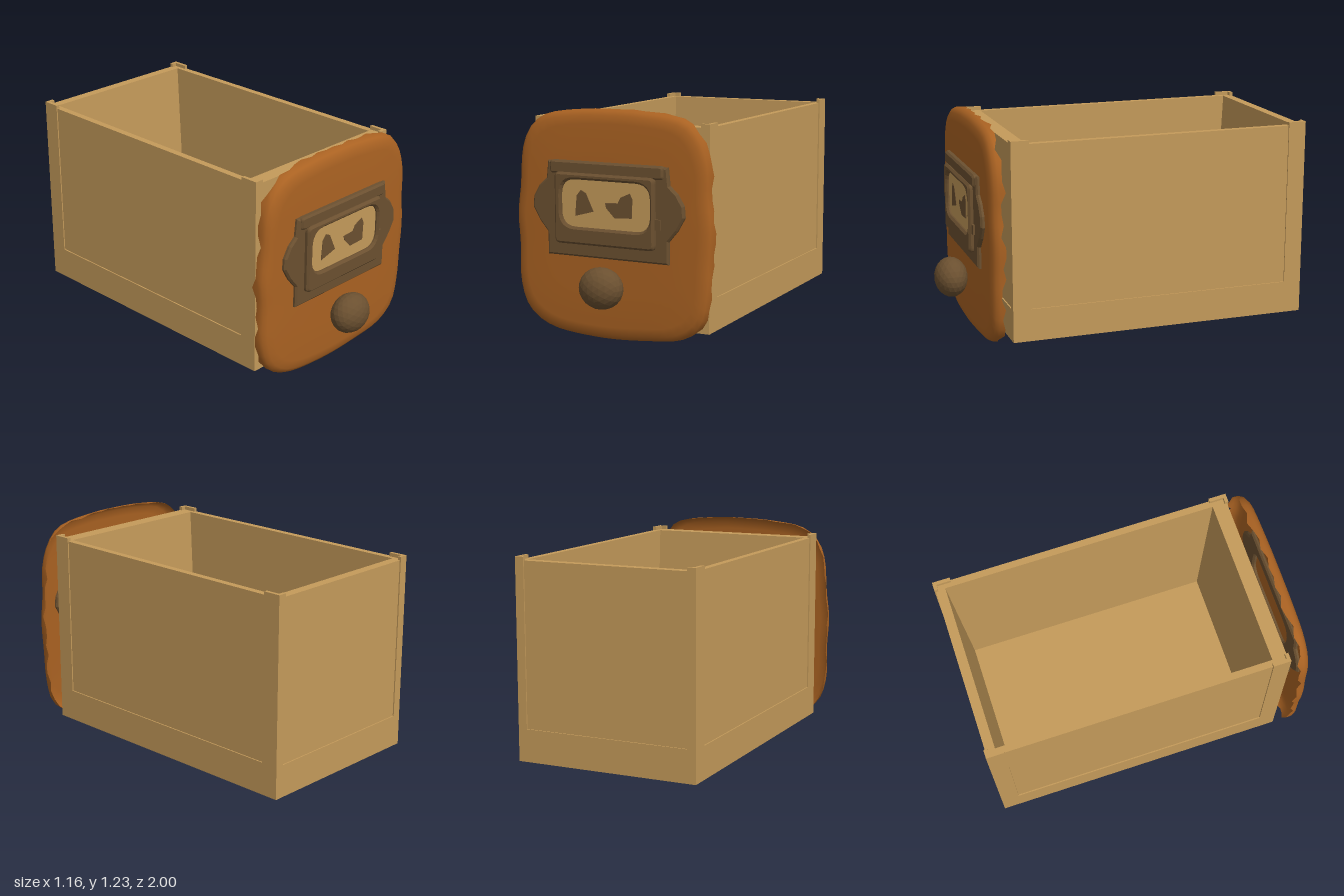
import * as THREE from 'three';

export function createModel() {
  const model = new THREE.Group();
  const mat = (name, color, flat) => {
    const m = new THREE.MeshStandardMaterial({ color, side: THREE.DoubleSide, flatShading: flat });
    m.name = name;
    return m;
  };
  const wood = mat('pale wood', 0xc49a5a, true);
  const front = mat('orange wood', 0xaa6222, false);
  const metal = mat('dark bronze', 0x6b5030, true);

  const add = (name, geo, material) => {
    const m = new THREE.Mesh(geo, material);
    m.name = name;
    model.add(m);
    return m;
  };
  // Box given by its minimum and maximum corners
  const box = (name, a, b, material) => {
    const m = add(name, new THREE.BoxGeometry(b[0] - a[0], b[1] - a[1], b[2] - a[2]), material);
    m.position.set((a[0] + b[0]) / 2, (a[1] + b[1]) / 2, (a[2] + b[2]) / 2);
  };
  const shapeOf = pts => new THREE.Shape(pts.map(p => new THREE.Vector2(p[0], p[1])));

  // Drawer box: floor, side panels and sloped end panels
  box('floor', [-0.49, 0.09, -0.97], [0.49, 0.12, 0.66], wood);
  for (const s of [-1, 1]) {
    const x = [s * 0.475, s * 0.513].sort((p, q) => p - q);
    box('sidePanel', [x[0], 0.1, -0.993], [x[1], 1.15, 0.683], wood);
  }
  const endPanel = (outer, top, bottom) => {
    const shape = shapeOf([[-outer, 0.1], [-bottom, 0.1], [-top, 1.15], [-outer, 1.15]]);
    const geo = new THREE.ExtrudeGeometry(shape, { depth: 0.95, bevelEnabled: false });
    geo.rotateY(Math.PI / 2);
    geo.translate(-0.475, 0, 0);
    add('endPanel', geo, wood);
  };
  endPanel(-0.993, -0.94, -0.89);
  endPanel(0.683, 0.6, 0.55);

  // Base rail running around the bottom, open underneath
  const rect = (x, z0, z1) => [[-x, -z1], [x, -z1], [x, -z0], [-x, -z0]];
  const rail = shapeOf(rect(0.52, -1, 0.69));
  rail.holes.push(shapeOf(rect(0.476, -0.955, 0.645)));
  const railGeo = new THREE.ExtrudeGeometry(rail, { depth: 0.18, bevelEnabled: false });
  railGeo.rotateX(-Math.PI / 2);
  railGeo.translate(0, 0.07, 0);
  add('baseRail', railGeo, wood);

  // L-shaped corner posts
  for (const sx of [-1, 1]) {
    for (const [z, inward] of [[-1, 1], [0.69, -1]]) {
      const L = [[0.52, 0], [0.52, 0.1], [0.5, 0.1], [0.5, 0.02], [0.47, 0.02], [0.47, 0]];
      const shape = shapeOf(L.map(([x, d]) => [sx * x, -(z + inward * d)]));
      const geo = new THREE.ExtrudeGeometry(shape, { depth: 0.92, bevelEnabled: false });
      geo.rotateX(-Math.PI / 2);
      geo.translate(0, 0.25, 0);
      add('cornerPost', geo, wood);
    }
  }

  // Bulging front panel: rings shrinking from a ragged back edge to the face
  const outline = new THREE.CatmullRomCurve3([
    [0, 1.233], [0.17, 1.23], [0.43, 1.19], [0.51, 1.11], [0.558, 0.98], [0.565, 0.8],
    [0.58, 0.65], [0.57, 0.45], [0.56, 0.28], [0.52, 0.13], [0.41, 0.05], [0.2, 0.018],
    [-0.1, 0.006], [-0.4, 0.045], [-0.52, 0.13], [-0.57, 0.27], [-0.573, 0.5], [-0.583, 0.65],
    [-0.565, 0.8], [-0.545, 1.02], [-0.5, 1.12], [-0.41, 1.19], [-0.2, 1.225]
  ].map(p => new THREE.Vector3(p[0], p[1], 0)), true);
  const n = 72, cy = 0.62;
  const edge = outline.getSpacedPoints(n).slice(0, n);
  const rings = [[1, 0.748], [1, 0.77], [0.985, 0.79], [0.95, 0.806], [0.88, 0.814], [0.6, 0.817], [0.001, 0.818]];
  const pos = [], index = [];
  rings.forEach(([k, z], r) => edge.forEach((p, i) => {
    const rag = r === 0 ? 0.012 * Math.sin(i * 2.3) + 0.008 * Math.sin(i * 0.9) : 0;
    pos.push(p.x * k, cy + (p.y - cy) * k, z + rag);
    if (r === 0) return;
    const j = (i + 1) % n, a = (r - 1) * n, b = r * n;
    index.push(a + i, b + i, a + j, a + j, b + i, b + j);
  }));
  const shell = new THREE.BufferGeometry();
  shell.setAttribute('position', new THREE.Float32BufferAttribute(pos, 3));
  shell.setIndex(index);
  shell.computeVertexNormals();
  add('frontPanel', shell, front);

  // Label holder: eared back plate and a raised frame with a rounded window
  const rounded = (x0, y0, x1, y1, r) => {
    const s = new THREE.Shape();
    s.moveTo(x0 + r, y0);
    s.lineTo(x1 - r, y0);
    s.quadraticCurveTo(x1, y0, x1, y0 + r);
    s.lineTo(x1, y1 - r);
    s.quadraticCurveTo(x1, y1, x1 - r, y1);
    s.lineTo(x0 + r, y1);
    s.quadraticCurveTo(x0, y1, x0, y1 - r);
    s.lineTo(x0, y0 + r);
    s.quadraticCurveTo(x0, y0, x0 + r, y0);
    return s;
  };
  const plate = (name, shape, z0, z1, bevel, material) => {
    const geo = new THREE.ExtrudeGeometry(shape, {
      depth: z1 - z0 - bevel, bevelEnabled: bevel > 0, bevelThickness: bevel,
      bevelSize: bevel, bevelOffset: -bevel, bevelSegments: 1, curveSegments: 6
    });
    geo.translate(0, 0, z0);
    add(name, geo, material);
  };
  const hole = () => rounded(-0.265, 0.612, 0.26, 0.865, 0.085);
  const half = [[0.355, 0.45], [0.355, 0.57], [0.405, 0.63], [0.445, 0.7], [0.44, 0.76], [0.405, 0.82], [0.36, 0.86], [0.35, 0.955]];
  const backPlate = shapeOf([...half, ...half.map(([x, y]) => [-x - 0.008, y]).reverse()]);
  backPlate.holes.push(hole());
  plate('holderPlate', backPlate, 0.805, 0.838, 0.01, metal);
  const frame = rounded(-0.305, 0.52, 0.285, 0.9, 0.03);
  frame.holes.push(hole());
  plate('holderFrame', frame, 0.825, 0.866, 0.012, metal);
  plate('holderTopLip', rounded(-0.34, 0.89, 0.33, 0.96, 0.02), 0.82, 0.85, 0.01, metal);
  box('holderCatch', [0.28, 0.63, 0.83], [0.315, 0.685, 0.85], metal);

  // Label card with dark worn patches
  plate('labelCard', rounded(-0.27, 0.605, 0.265, 0.87, 0.085), 0.82, 0.846, 0, wood);
  const patches = [
    [[-0.185, 0.67], [-0.075, 0.7], [-0.12, 0.795], [-0.15, 0.81], [-0.175, 0.78]],
    [[0.05, 0.675], [0.15, 0.68], [0.155, 0.78], [0.14, 0.81], [0.085, 0.785], [0.07, 0.755], [-0.005, 0.75], [0, 0.725]]
  ];
  for (const p of patches) plate('labelPatch', shapeOf(p), 0.844, 0.849, 0, metal);

  // Faceted pull knob
  const knob = add('knob', new THREE.IcosahedronGeometry(1, 3), metal);
  knob.scale.set(0.124, 0.112, 0.092);
  knob.position.set(0, 0.31, 0.908);

  return model;
}
